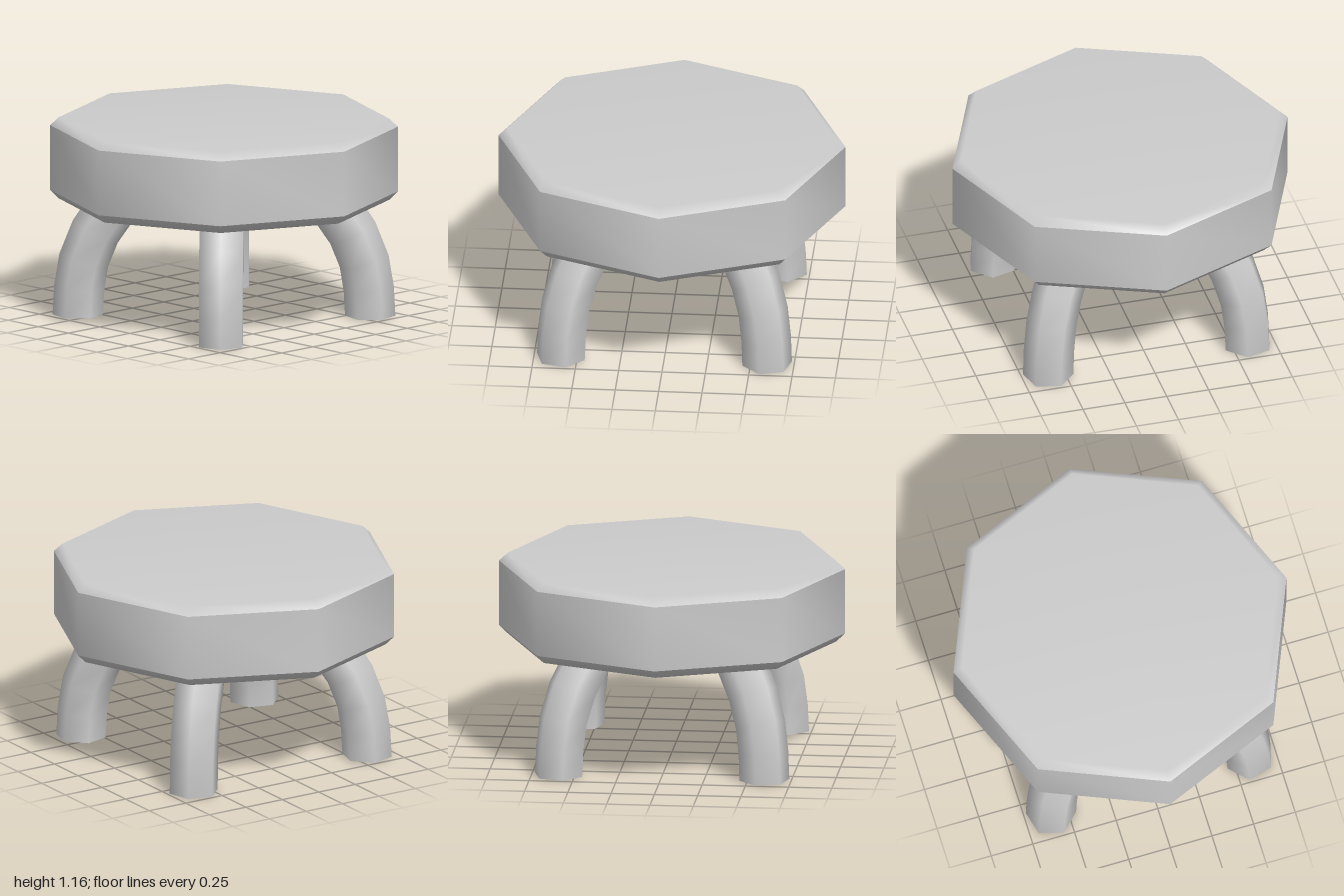
import * as THREE from 'three';
import { mergeVertices } from 'three/addons/utils/BufferGeometryUtils.js';

const material = new THREE.MeshStandardMaterial({ color: 0xcccccc });

// Eight-sided ring or cap with smooth, area-weighted normals
function octagonLathe(name, profile) {
  const lathe = new THREE.LatheGeometry(profile.map(([r, y]) => new THREE.Vector2(r, y)), 8);
  lathe.deleteAttribute('uv');
  lathe.deleteAttribute('normal');
  const geometry = mergeVertices(lathe, 1e-4);
  geometry.computeVertexNormals();
  const mesh = new THREE.Mesh(geometry, material);
  mesh.name = name;
  return mesh;
}

// Leg spine, foot to seat: distance from the centre, height, inward tilt in degrees
const SPINE = [
  [0.841, 0, 0],
  [0.832, 0.16, 6],
  [0.806, 0.32, 15],
  [0.74, 0.487, 27],
  [0.64, 0.635, 36],
  [0.55, 0.745, 40],
];

// Six-sided cylinder with each ring moved onto the spine and tilted
function bentLegGeometry() {
  const steps = SPINE.length - 1;
  const geometry = new THREE.CylinderGeometry(0.145, 0.145, steps, 6, steps);
  geometry.translate(0, steps / 2, 0);
  const { position, normal } = geometry.attributes;
  const axis = new THREE.Vector3(1, 0, 0);
  const p = new THREE.Vector3();
  const n = new THREE.Vector3();
  for (let i = 0; i < position.count; i++) {
    p.fromBufferAttribute(position, i);
    n.fromBufferAttribute(normal, i);
    const [reach, height, tilt] = SPINE[Math.round(p.y)];
    const angle = -THREE.MathUtils.degToRad(tilt);
    p.setY(0).applyAxisAngle(axis, angle);
    n.applyAxisAngle(axis, angle);
    position.setXYZ(i, p.x, p.y + height, p.z + reach);
    normal.setXYZ(i, n.x, n.y, n.z);
  }
  return geometry;
}

export function createModel() {
  const model = new THREE.Group();
  model.name = 'stool';

  // Thick seat: bevelled underside, side band and bevelled top
  const seat = new THREE.Group();
  seat.name = 'seat';
  seat.add(
    octagonLathe('seatUnderside', [[0, 0.68], [0.95, 0.68], [1, 0.73]]),
    octagonLathe('seatSide', [[1, 0.73], [1, 1.11]]),
    octagonLathe('seatTop', [[1, 1.11], [0.95, 1.157], [0, 1.157]]),
  );
  model.add(seat);

  // Four bent legs on the diagonals
  const legGeometry = bentLegGeometry();
  ['frontLeftLeg', 'backLeftLeg', 'backRightLeg', 'frontRightLeg'].forEach((name, i) => {
    const leg = new THREE.Mesh(legGeometry, material);
    leg.name = name;
    leg.rotation.y = Math.PI / 4 + (i * Math.PI) / 2;
    model.add(leg);
  });

  return model;
}
